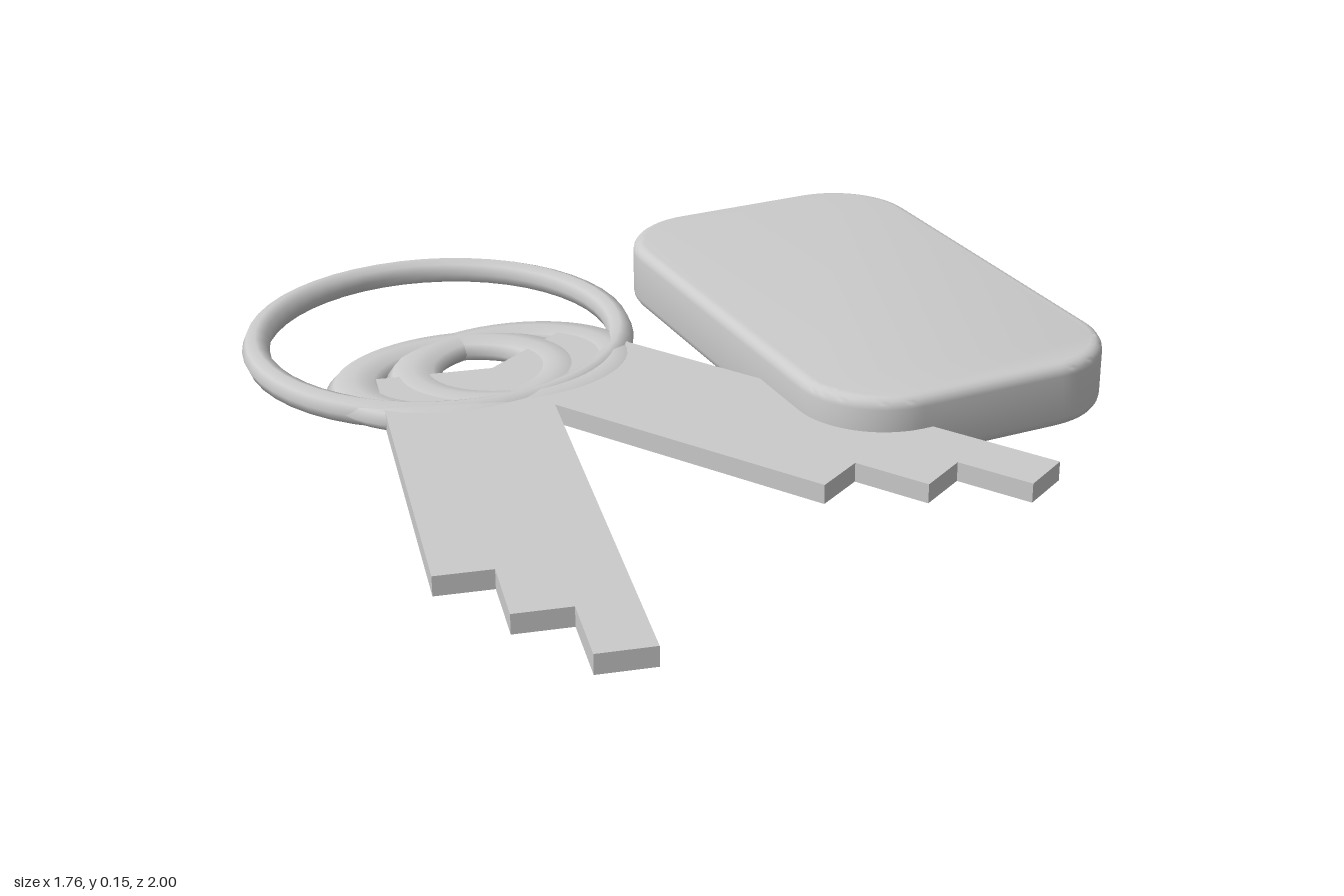
import * as THREE from 'three';
import { toCreasedNormals } from 'three/addons/utils/BufferGeometryUtils.js';

const material = new THREE.MeshStandardMaterial({ color: 0xcccccc });
const MID = 0.053; // height of the ring and key centre plane

function addMesh(parent, name, geometry, x, y, z) {
  const mesh = new THREE.Mesh(geometry, material);
  mesh.name = name;
  mesh.position.set(x, y, z);
  parent.add(mesh);
  return mesh;
}

// Lays a torus flat, with separate scale along x, y and z
function flatTorus(radius, tube, sx = 1, sy = 1, sz = 1) {
  return new THREE.TorusGeometry(radius, tube, 8, 48).rotateX(Math.PI / 2).scale(sx, sy, sz);
}

// Extrudes a plan outline (x, z) and centres its thickness on y = 0
function slab(shape, height, bevel = 0) {
  const geometry = new THREE.ExtrudeGeometry(shape, {
    depth: height - 2 * bevel, curveSegments: 10,
    bevelEnabled: bevel > 0, bevelSize: bevel, bevelThickness: bevel,
    bevelOffset: -bevel, bevelSegments: 4,
  });
  geometry.translate(0, 0, bevel - height / 2).rotateX(Math.PI / 2);
  return toCreasedNormals(geometry, 0.6);
}

function roundedRect(w, d, r) {
  const x = w / 2, z = d / 2, s = new THREE.Shape();
  s.absarc(x - r, z - r, r, 0, Math.PI / 2);
  s.absarc(r - x, z - r, r, Math.PI / 2, Math.PI);
  s.absarc(r - x, r - z, r, Math.PI, Math.PI * 1.5);
  s.absarc(x - r, r - z, r, Math.PI * 1.5, Math.PI * 2);
  s.closePath();
  return s;
}

// Blade outline with a stepped tip, running along +z
function bladeShape() {
  const half = 0.184, step = half * 2 / 3;
  const s = new THREE.Shape();
  s.moveTo(-half, 0);
  s.lineTo(half, 0);
  for (let i = 3; i > 0; i--) {
    const end = 0.93 + (i - 1) * 0.176;
    s.lineTo(-half + i * step, end);
    s.lineTo(-half + (i - 1) * step, end);
  }
  s.closePath();
  return s;
}

export function createModel() {
  const model = new THREE.Group();
  model.name = 'keysOnRing';

  // Split ring
  addMesh(model, 'keyRing', flatTorus(0.427, 0.032), -0.422, MID, -0.54);

  // Two keys: oval bow and stepped blade
  const keys = [
    { name: 'leftwardKey', bowX: -0.47, x: -0.469, z: -0.294, turn: -12.5 },
    { name: 'rightwardKey', bowX: -0.33, x: -0.297, z: -0.331, turn: 30 },
  ];
  for (const k of keys) {
    const key = new THREE.Group();
    key.name = k.name;
    addMesh(key, 'bow', flatTorus(0.235, 0.065, 1, 0.43, 0.78), k.bowX, MID, -0.295);
    const blade = addMesh(key, 'blade', slab(bladeShape(), 0.044), k.x, MID, k.z);
    blade.rotation.y = THREE.MathUtils.degToRad(k.turn);
    model.add(key);
  }

  // Fob with rounded corners and softened rims
  addMesh(model, 'fob', slab(roundedRect(0.75, 1.226, 0.2), 0.152, 0.025), 0.505, 0.076, -0.188);

  return model;
}
